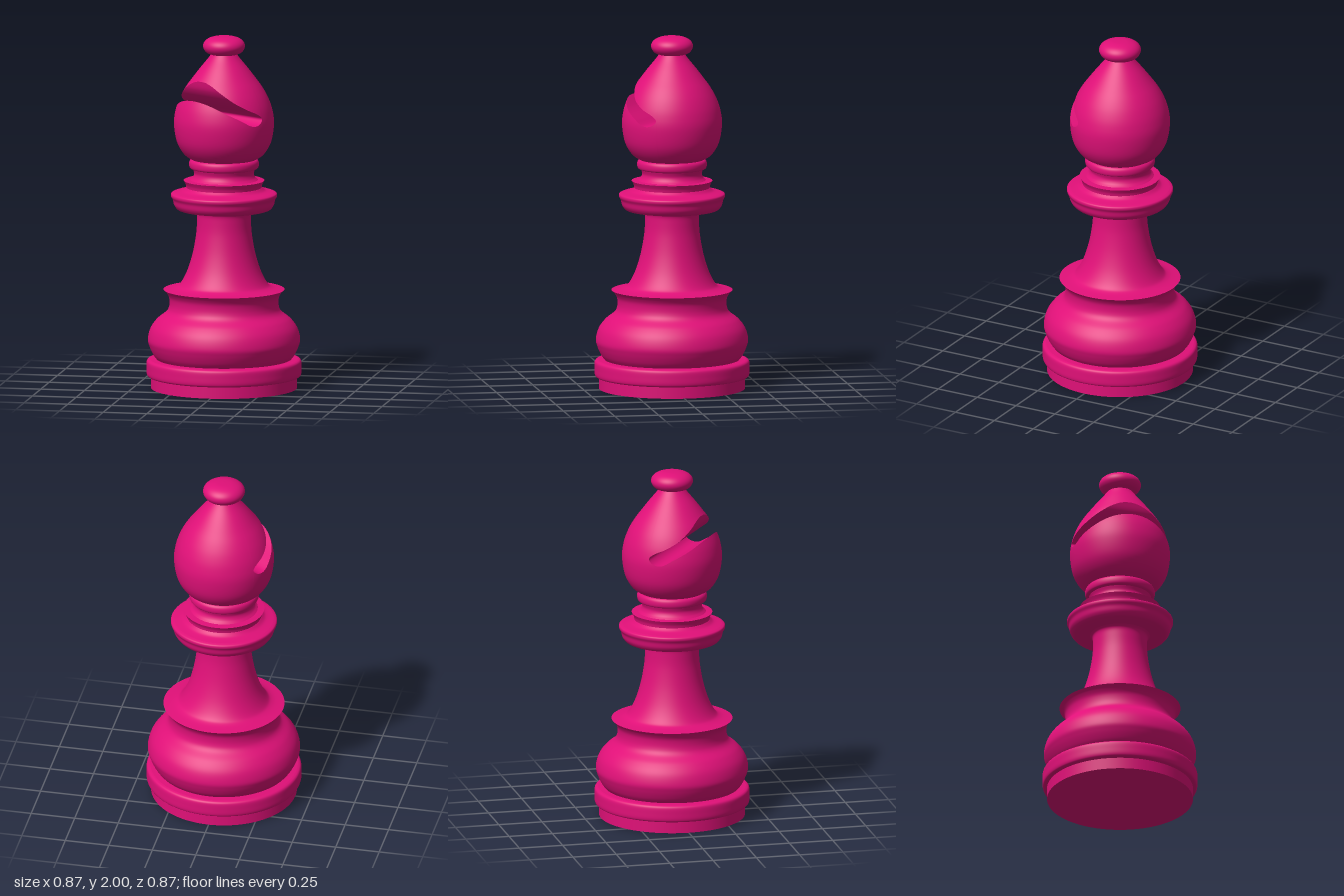
import * as THREE from 'three';
import { mergeGeometries, mergeVertices } from 'three/addons/utils/BufferGeometryUtils.js';

const magenta = new THREE.MeshStandardMaterial({ color: 0xe01078, side: THREE.DoubleSide });
magenta.name = 'magenta';

const toVectors = (points) => points.map(([a, b]) => new THREE.Vector2(a, b));
const smooth = (points, n) => new THREE.SplineCurve(toVectors(points)).getPoints(n);

// Linear lookup in a list of [key, value] pairs with rising keys
function lookup(table, key) {
  if (key <= table[0][0]) return table[0][1];
  for (let i = 1; i < table.length; i++) {
    const [k0, v0] = table[i - 1], [k1, v1] = table[i];
    if (key <= k1) return v0 + (v1 - v0) * (key - k0) / (k1 - k0 || 1);
  }
  return table[table.length - 1][1];
}

// Surface over a grid of columns and rows; point(i, j) gives [x, y, z]
function gridSurface(cols, rows, point) {
  const position = [], index = [], w = cols + 1;
  for (let j = 0; j <= rows; j++) for (let i = 0; i <= cols; i++) position.push(...point(i, j));
  for (let j = 0; j < rows; j++) for (let i = 0; i < cols; i++) {
    const a = j * w + i;
    index.push(a, a + 1, a + w, a + 1, a + w + 1, a + w);
  }
  const geometry = new THREE.BufferGeometry();
  geometry.setAttribute('position', new THREE.Float32BufferAttribute(position, 3));
  geometry.setIndex(index);
  return geometry;
}

function finish(geometry) {
  const merged = mergeVertices(geometry, 1e-5);
  merged.computeVertexNormals();
  return merged;
}

// Turned head with a curved slot; the slot faces local +z and runs along x
function createHead() {
  const head = new THREE.Group();
  head.name = 'head';
  const yBottom = 1.3, yTop = 1.9;
  const outline = smooth([[0.18, 1.3], [0.225, 1.33], [0.265, 1.4], [0.281, 1.5], [0.272, 1.58],
    [0.248, 1.65], [0.215, 1.71], [0.175, 1.765], [0.133, 1.82], [0.092, 1.87], [0.07, 1.9]], 200)
    .map((p) => [p.y, p.x]);
  const radius = (y) => lookup(outline, y);

  // Slot section (z, y): in along the lower lip, around the end, out under the upper lip
  const slot = smooth([[0.3, 1.705], [0.25, 1.66], [0.185, 1.6], [0.11, 1.553], [0.05, 1.52], [0, 1.523],
    [-0.03, 1.553], [0, 1.582], [0.06, 1.61], [0.125, 1.652], [0.166, 1.705], [0.18, 1.76], [0.185, 1.8]], 400)
    .filter((p) => p.x <= radius(p.y));
  const rim = slot.map((p) => [Math.acos(p.x / radius(p.y)), p.y]);
  const end = rim.reduce((best, r, i) => (r[0] > rim[best][0] ? i : best), 0);
  const byAngle = (a, b) => a[0] - b[0];
  const lower = rim.slice(0, end + 1).sort(byAngle);
  const upper = rim.slice(end).sort(byAngle);
  const maxAngle = rim[end][0];

  // Columns crowd together towards both ends of the slot
  const angles = [];
  for (let i = 0; i < 96; i++) angles.push(maxAngle * Math.sin(Math.PI * (i / 96 - 0.5)));
  for (let i = 0; i <= 64; i++) angles.push(maxAngle + (2 * Math.PI - 2 * maxAngle) * i / 64);
  const edge = (angle, table) => lookup(table, Math.min(Math.abs(angle), 2 * Math.PI - angle, maxAngle));
  const onHead = (angle, y) => [radius(y) * Math.sin(angle), y, radius(y) * Math.cos(angle)];
  const rows = 24;
  const below = gridSurface(angles.length - 1, rows, (i, j) =>
    onHead(angles[i], THREE.MathUtils.lerp(yBottom, edge(angles[i], lower), j / rows)));
  const above = gridSurface(angles.length - 1, rows, (i, j) =>
    onHead(angles[i], THREE.MathUtils.lerp(edge(angles[i], upper), yTop, j / rows)));
  const skin = new THREE.Mesh(finish(mergeGeometries([below, above])), magenta);
  skin.name = 'headSurface';

  // Slot walls end exactly on the head surface
  const walls = new THREE.Mesh(finish(gridSurface(8, slot.length - 1, (i, j) => {
    const { x: z, y } = slot[j];
    const half = Math.sqrt(Math.max(0, radius(y) ** 2 - z * z));
    return [half * (i / 4 - 1), y, z];
  })), magenta);
  walls.name = 'headSlot';
  head.add(skin, walls);
  head.rotation.y = -0.61;
  return head;
}

export function createModel() {
  const group = new THREE.Group();
  group.name = 'chessPiece';

  // Each run of the turned profile is its own lathe, so edges between runs stay sharp
  function turned(name, ...runs) {
    const part = new THREE.Group();
    part.name = name;
    for (const run of runs) {
      const points = run.length > 2 ? smooth(run, run.length * 6) : toVectors(run);
      part.add(new THREE.Mesh(new THREE.LatheGeometry(points, 96), magenta));
      part.children[part.children.length - 1].name = name + 'Surface';
    }
    group.add(part);
  }

  turned('foot', [[0, 0], [0.41, 0]], [[0.41, 0], [0.41, 0.065]]);
  turned('footRing',
    [[0.41, 0.065], [0.428, 0.07], [0.435, 0.085], [0.436, 0.115], [0.435, 0.147], [0.428, 0.16], [0.415, 0.165]],
    [[0.415, 0.165], [0.38, 0.167]]);
  turned('base',
    [[0.38, 0.167], [0.4, 0.195], [0.42, 0.24], [0.428, 0.28], [0.412, 0.34], [0.375, 0.39],
      [0.325, 0.43], [0.308, 0.465], [0.308, 0.51], [0.322, 0.54], [0.34, 0.56]]);
  turned('stem',
    [[0.34, 0.56], [0.275, 0.572], [0.242, 0.597], [0.205, 0.67], [0.175, 0.77], [0.156, 0.88],
      [0.152, 0.96], [0.155, 0.995], [0.168, 1.01]]);
  turned('collar',
    [[0.168, 1.01], [0.235, 1.01]],
    [[0.235, 1.01], [0.262, 1.017], [0.28, 1.04], [0.288, 1.07], [0.298, 1.09], [0.296, 1.105], [0.28, 1.112]],
    [[0.28, 1.112], [0.235, 1.122], [0.212, 1.14]],
    [[0.212, 1.14], [0.216, 1.158], [0.227, 1.18]],
    [[0.227, 1.18], [0.19, 1.183]]);
  turned('neck',
    [[0.19, 1.183], [0.175, 1.198], [0.168, 1.22], [0.175, 1.245]],
    [[0.175, 1.245], [0.19, 1.25], [0.196, 1.265], [0.195, 1.285], [0.186, 1.298], [0.17, 1.303]]);
  group.add(createHead());
  turned('finial',
    [[0.07, 1.88], [0.07, 1.895]],
    [[0.07, 1.895], [0.1, 1.908], [0.117, 1.935], [0.113, 1.962], [0.09, 1.984], [0.05, 1.997], [0, 2]]);
  return group;
}
